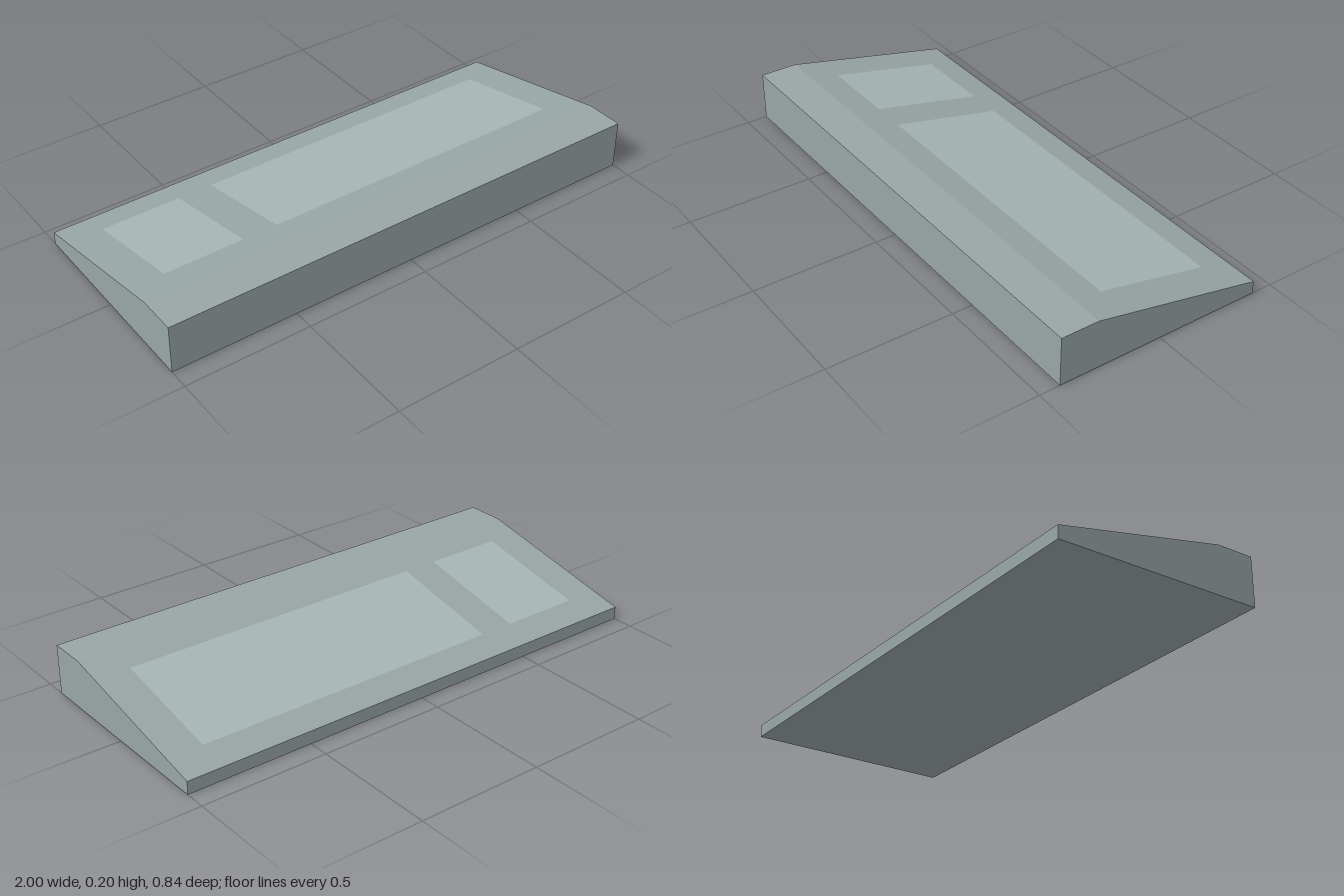
import * as THREE from 'three';

const FRONT = 0.418, BACK = -0.418, RIDGE = 0.268, TOP = 0.196, LOW = 0.051;
const ANGLE = Math.atan2(TOP - LOW, RIDGE - BACK);
const slopeY = (z) => LOW + (z - BACK) * Math.tan(ANGLE);

// Flush rectangle lying on the sloping top, given by its plan extents
function makePanel(name, x0, x1, z0, z1, material) {
  const panel = new THREE.Mesh(
    new THREE.PlaneGeometry(x1 - x0, (z1 - z0) / Math.cos(ANGLE)), material);
  const z = (z0 + z1) / 2;
  panel.rotation.x = -Math.PI / 2 - ANGLE;
  panel.position.set((x0 + x1) / 2, slopeY(z) + 0.0015, z);
  panel.name = name;
  return panel;
}

export function createModel() {
  const model = new THREE.Group();
  model.name = 'wedgeConsole';
  const bodyMaterial = new THREE.MeshStandardMaterial({ color: 0x98a6a4 });
  const panelMaterial = new THREE.MeshStandardMaterial({ color: 0xa7b6b4 });

  // Wedge body: side profile extruded across the width
  const profile = [[FRONT, 0], [BACK, 0], [BACK, LOW], [RIDGE, TOP], [FRONT, TOP]];
  const shape = new THREE.Shape(profile.map(([z, y]) => new THREE.Vector2(-z, y)));
  const geometry = new THREE.ExtrudeGeometry(shape, { depth: 2, bevelEnabled: false });
  geometry.rotateY(Math.PI / 2).translate(-1, 0, 0);
  const body = new THREE.Mesh(geometry, bodyMaterial);
  body.name = 'wedgeBody';

  // Two lighter panels on the slope
  model.add(
    body,
    makePanel('smallPanel', -0.86, -0.54, -0.3, 0.15, panelMaterial),
    makePanel('largePanel', -0.4, 0.86, -0.3, 0.15, panelMaterial));
  return model;
}
